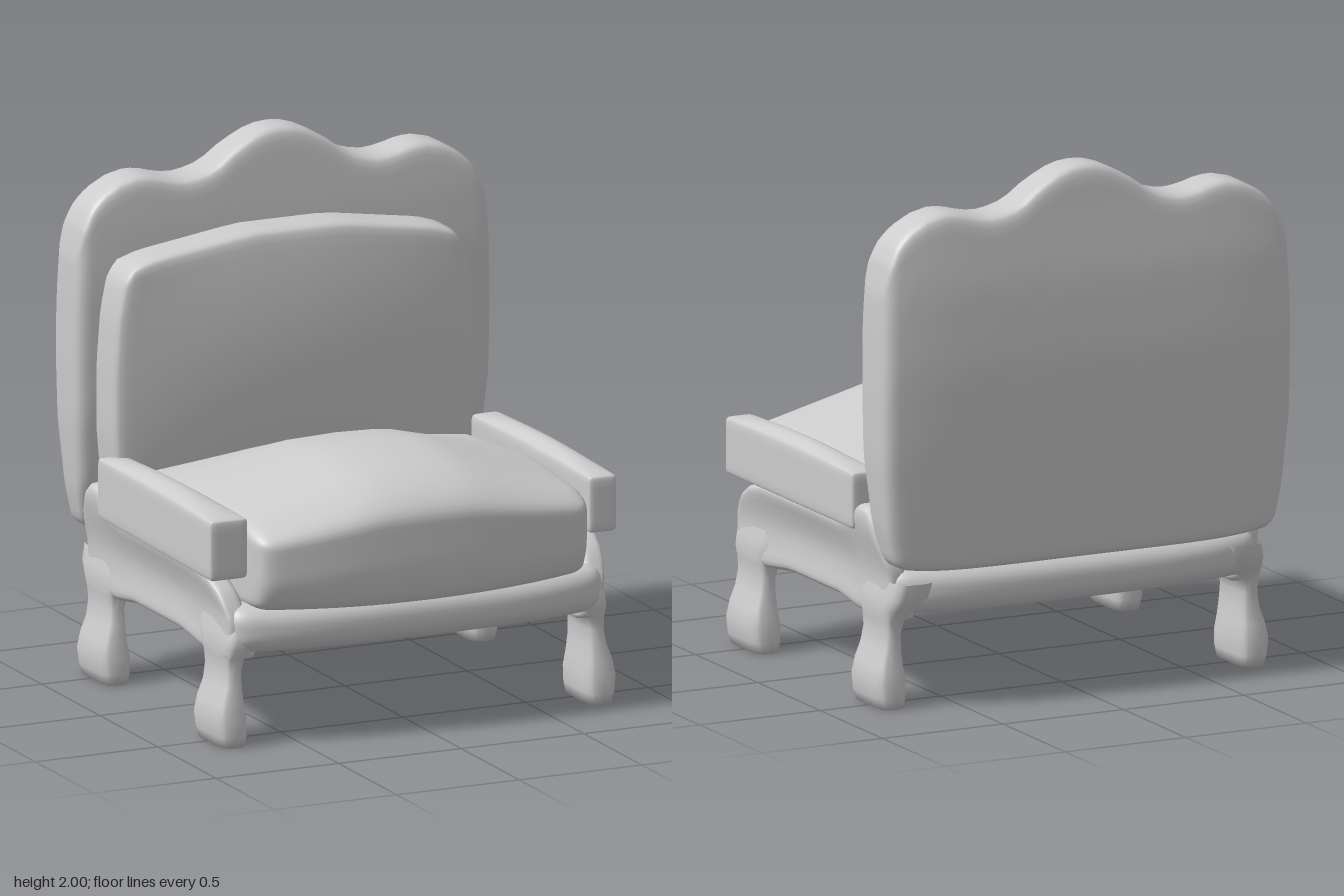
import * as THREE from 'three';
import { mergeVertices } from 'three/addons/utils/BufferGeometryUtils.js';

const material = new THREE.MeshStandardMaterial({ color: 0xcccccc });
const { lerp, clamp } = THREE.MathUtils;

// Piecewise-linear curve through [t, value] pairs with rising t
function curve(points, t) {
  if (t <= points[0][0]) return points[0][1];
  for (let i = 1; i < points.length; i++) {
    const [t0, a] = points[i - 1], [t1, b] = points[i];
    if (t <= t1) return lerp(a, b, (t - t0) / (t1 - t0));
  }
  return points[points.length - 1][1];
}

function smoothMesh(name, geometry) {
  geometry.deleteAttribute('normal');
  geometry.deleteAttribute('uv');
  geometry = mergeVertices(geometry, 1e-5);
  geometry.computeVertexNormals();
  const mesh = new THREE.Mesh(geometry, material);
  mesh.name = name;
  return mesh;
}

// Rounded block between two corners; warp(p, u, v, w) then shapes it (u, v, w run -1..1)
function softBlock(name, min, max, radius, warp, segments = [28, 20, 20]) {
  const half = max.map((m, i) => (m - min[i]) / 2);
  const mid = max.map((m, i) => (m + min[i]) / 2);
  const geometry = new THREE.BoxGeometry(2, 2, 2, ...segments);
  const pos = geometry.attributes.position;
  const p = new THREE.Vector3();
  for (let i = 0; i < pos.count; i++) {
    p.fromBufferAttribute(pos, i);
    // crowd the grid towards the edges so the rounding is smooth
    const q = p.toArray().map((c, k) => Math.sin(c * Math.PI / 2) * half[k]);
    const inner = q.map((c, k) => clamp(c, radius - half[k], half[k] - radius));
    const out = new THREE.Vector3(...q.map((c, k) => c - inner[k])).setLength(radius);
    p.set(...inner).add(out);
    const n = p.toArray().map((c, k) => c / half[k]);
    p.add(new THREE.Vector3(...mid));
    if (warp) warp(p, ...n);
    pos.setXYZ(i, p.x, p.y, p.z);
  }
  return smoothMesh(name, geometry);
}

// Tall back with a scalloped crest and a gentle bulge behind
function makeBack() {
  const crest = [[0, 2], [0.06, 1.995], [0.12, 1.975], [0.2, 1.93], [0.26, 1.885], [0.32, 1.857], [0.4, 1.845],
    [0.46, 1.852], [0.53, 1.872], [0.59, 1.88], [0.67, 1.862], [0.74, 1.825], [0.79, 1.78], [0.83, 1.71], [0.85, 1.62]];
  const halfWidth = [[0.52, 0.78], [0.7, 0.82], [0.95, 0.845], [1.2, 0.85], [1.45, 0.847], [1.7, 0.835]];
  const front = [[0.52, -0.59], [0.75, -0.53], [1.0, -0.505], [1.5, -0.5], [1.7, -0.51], [2, -0.54]];
  const rear = [[0.52, -0.72], [0.75, -0.735], [1.0, -0.75], [1.3, -0.757], [1.6, -0.745], [1.85, -0.715], [2, -0.70]];
  return softBlock('back', [-0.85, 0.52, -0.75], [0.85, 2, -0.5], 0.05, (p, u, v, w) => {
    const edge = Math.pow(Math.abs(u), 6);
    p.y = lerp(0.52 + 0.03 * edge, curve(crest, Math.abs(p.x)), (v + 1) / 2);
    p.x = u * curve(halfWidth, p.y);
    p.z = lerp(curve(rear, p.y) + 0.025 * edge, curve(front, p.y) - 0.01 * edge, (w + 1) / 2);
  }, [52, 26, 12]);
}

// Loose cushion leaning on the back
function makeBackCushion() {
  const top = [[-1, 1.54], [-0.95, 1.585], [-0.83, 1.612], [-0.25, 1.67], [0.28, 1.67], [0.83, 1.612], [0.95, 1.585], [1, 1.54]];
  const halfWidth = [[0.78, 0.72], [0.95, 0.735], [1.2, 0.735], [1.4, 0.72], [1.55, 0.69], [1.67, 0.68]];
  return softBlock('backCushion', [-0.735, 0.78, -0.53], [0.735, 1.67, -0.34], 0.035, (p, u, v, w) => {
    p.y = lerp(0.78, curve(top, u), (v + 1) / 2);
    p.x = -0.04 + u * curve(halfWidth, p.y);
    p.z += 0.04 * (w + 1) / 2 * (1 - u * u) * (1 - v * v);
  });
}

// Crowned seat cushion, highest a little forward of the middle
function makeSeatCushion() {
  const ridge = [[-0.5, 0.8], [-0.33, 0.86], [-0.1, 0.945], [0.25, 0.998], [0.55, 0.968], [0.68, 0.915], [0.76, 0.86]];
  const side = [[-0.5, 0.79], [0.2, 0.84], [0.6, 0.82], [0.76, 0.76]];
  const across = [[0, 1], [0.28, 0.95], [0.6, 0.52], [0.9, 0.12], [1, 0]];
  return softBlock('seatCushion', [-0.695, 0.48, -0.5], [0.695, 1, 0.7], 0.06, (p, u, v, w) => {
    const f = (w + 1) / 2, h = (v + 1) / 2;
    // bowed front face, fullest above mid height
    p.z += f * f * (0.06 * (1 - Math.pow(Math.abs(u), 2.5)) - 0.05 * Math.max(0, -v) ** 2);
    const top = lerp(curve(side, p.z), curve(ridge, p.z), curve(across, Math.abs(u)));
    p.y = lerp(0.48 + 0.03 * u * u, top, h);
    p.x *= 1 - 0.03 * f * f * f + 0.01 * (1 - w * w);
  });
}

// Low seat frame with bowed front and rear rails
function makeFrame() {
  return softBlock('seatFrame', [-0.77, 0.34, -0.62], [0.77, 0.53, 0.64], 0.07, (p, u, v, w) => {
    const bow = 1 - Math.pow(Math.abs(u), 4);
    p.z += (w > 0 ? 0.08 : -0.08) * Math.abs(w) * bow * (1 - 0.25 * v * v);
    p.x *= 1 - 0.02 * (1 - w * w);
    if (v < 0) p.y += 0.01 * u * u;
  });
}

// Side panel rising to a post at the rear, flaring outward under the arm
function makeSidePanel(s) {
  const top = [[-0.62, 0.53], [-0.58, 0.6], [-0.52, 0.74], [-0.48, 0.75], [-0.41, 0.745], [-0.34, 0.68], [-0.25, 0.655],
    [0.38, 0.65], [0.48, 0.625], [0.56, 0.58], [0.62, 0.5], [0.64, 0.46]];
  const outer = [[0.33, 0.785], [0.42, 0.775], [0.5, 0.775], [0.57, 0.79], [0.64, 0.81], [0.75, 0.825]];
  const bottom = [[-0.62, 0.32], [-0.36, 0.325], [-0.2, 0.35], [0.2, 0.35], [0.38, 0.325], [0.64, 0.32]];
  return softBlock(s > 0 ? 'leftSidePanel' : 'rightSidePanel', [-0.08, 0.33, -0.61], [0.08, 0.65, 0.63], 0.05, (p, u, v, w) => {
    p.y = lerp(curve(bottom, p.z), curve(top, p.z), (v + 1) / 2);
    const inside = 0.64 + 0.06 * (v + 1) / 2;
    const out = curve(outer, p.y) - 0.015 * (1 - w * w) * (1 - v * v);
    p.x = s > 0 ? lerp(inside, out, (u + 1) / 2) : lerp(-out, -inside, (u + 1) / 2);
  }, [10, 14, 36]);
}

// Padded arm with a slightly peaked top; the right one is a touch wider
function makeArm(s) {
  const left = s > 0;
  const min = left ? [0.705, 0.645, -0.41] : [-0.83, 0.635, -0.41];
  const max = left ? [0.822, 0.86, 0.615] : [-0.695, 0.865, 0.615];
  return softBlock(left ? 'leftArm' : 'rightArm', min, max, 0.018, (p, u, v, w) => {
    if (v > 0) p.y += 0.03 * v * (1 - u * u) * (1 - w * w);
    if (!left) p.x += 0.012 * u * w;
  }, [10, 10, 16]);
}

// Leg lofted from squarish rings: y, inner x, outer x, rear z, front z
const legRings = [
  [0, 0.695, 0.80, 0.385, 0.645], [0.04, 0.688, 0.812, 0.38, 0.652], [0.1, 0.685, 0.82, 0.38, 0.65],
  [0.16, 0.695, 0.808, 0.39, 0.64], [0.22, 0.702, 0.785, 0.40, 0.63], [0.28, 0.705, 0.775, 0.40, 0.622],
  [0.33, 0.69, 0.78, 0.395, 0.625], [0.37, 0.645, 0.785, 0.37, 0.645], [0.42, 0.61, 0.78, 0.33, 0.65], [0.48, 0.60, 0.765, 0.32, 0.63],
];
function makeLeg(name, sx, front) {
  const sides = 20, verts = [], index = [];
  const power = c => Math.sign(c) * Math.pow(Math.abs(c), 0.55);
  for (const [y, x0, x1, z0, z1] of legRings) {
    for (let i = 0; i < sides; i++) {
      const a = i / sides * Math.PI * 2;
      const x = (x0 + x1) / 2 + (x1 - x0) / 2 * power(Math.cos(a));
      const z = (z0 + z1) / 2 + (z1 - z0) / 2 * power(Math.sin(a));
      verts.push(sx * x, y, front ? z : z - 1.005);
    }
  }
  const quad = (a, b, c, d) => sx > 0 ? index.push(a, b, c, a, c, d) : index.push(a, c, b, a, d, c);
  for (let r = 0; r < legRings.length - 1; r++) {
    for (let i = 0; i < sides; i++) {
      const j = (i + 1) % sides, o = r * sides;
      quad(o + i, o + sides + i, o + sides + j, o + j);
    }
  }
  // flat sole
  const centre = verts.length / 3;
  verts.push(sx * 0.7475, 0, front ? 0.515 : -0.49);
  for (let i = 0; i < sides; i++) {
    const j = (i + 1) % sides;
    sx > 0 ? index.push(centre, i, j) : index.push(centre, j, i);
  }
  const geometry = new THREE.BufferGeometry();
  geometry.setAttribute('position', new THREE.Float32BufferAttribute(verts, 3));
  geometry.setIndex(index);
  return smoothMesh(name, geometry);
}

export function createModel() {
  const chair = new THREE.Group();
  chair.name = 'armchair';
  chair.add(makeBack(), makeBackCushion(), makeSeatCushion(), makeFrame());
  for (const s of [1, -1]) {
    const side = s > 0 ? 'Left' : 'Right';
    chair.add(makeSidePanel(s), makeArm(s), makeLeg('front' + side + 'Leg', s, true), makeLeg('rear' + side + 'Leg', s, false));
  }
  return chair;
}
